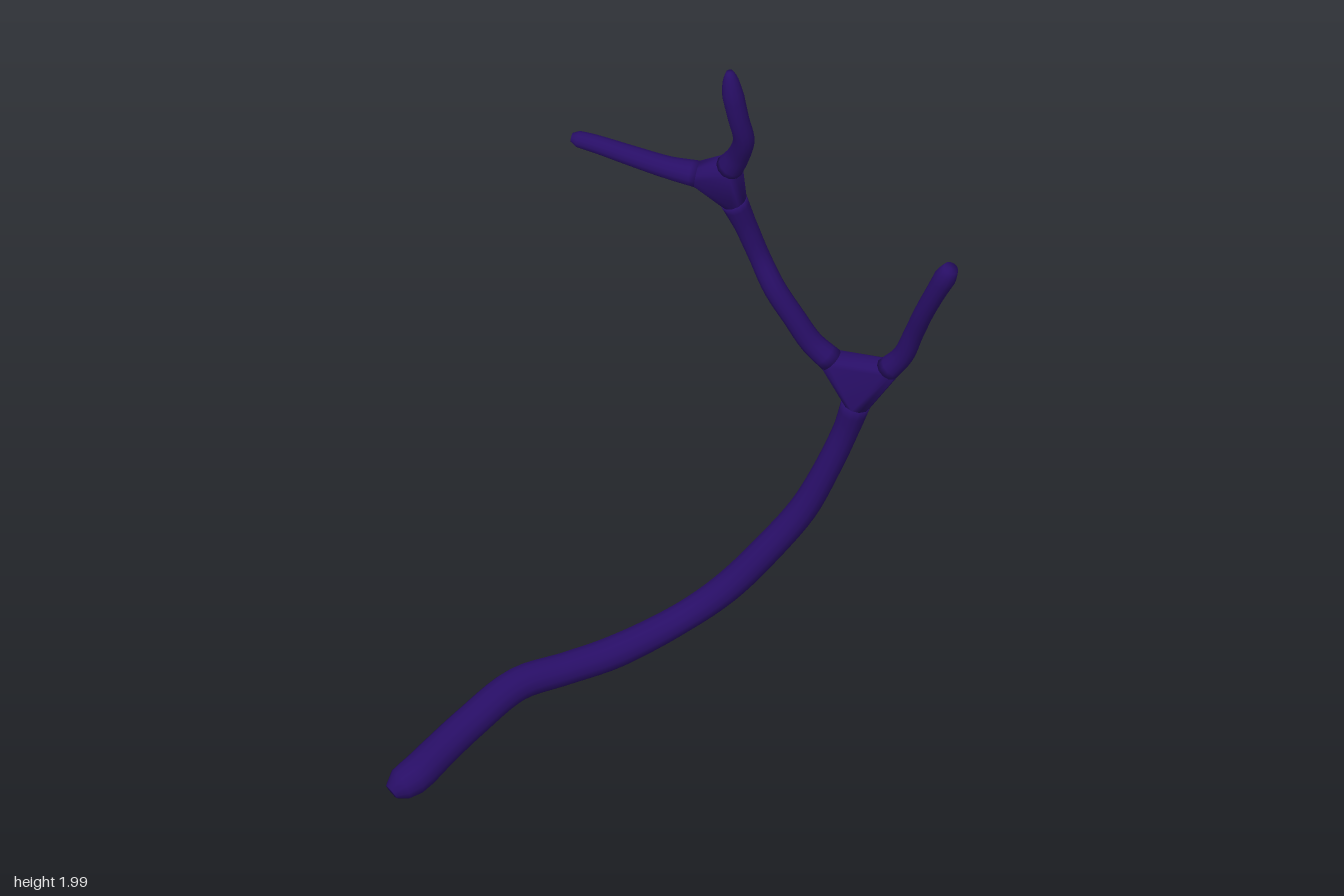
import * as THREE from 'three';
import { mergeVertices } from 'three/addons/utils/BufferGeometryUtils.js';
import { ConvexGeometry } from 'three/addons/geometries/ConvexGeometry.js';

const SIDES = 12;

// Rings of points swept along a path of [x, y, z, radius] stations
function sweepRings(stations, steps) {
  const curve = new THREE.CatmullRomCurve3(stations.map(s => new THREE.Vector3(s[0], s[1], s[2])));
  const frames = curve.computeFrenetFrames(steps);
  const rings = [];
  for (let i = 0; i <= steps; i++) {
    const u = i / steps;
    const f = curve.getUtoTmapping(u) * (stations.length - 1);
    const k = Math.min(Math.floor(f), stations.length - 2);
    const r = THREE.MathUtils.lerp(stations[k][3], stations[k + 1][3], f - k);
    const centre = curve.getPointAt(u);
    const ring = [];
    for (let j = 0; j < SIDES; j++) {
      const a = (j / SIDES) * Math.PI * 2;
      ring.push(centre.clone()
        .addScaledVector(frames.normals[i], Math.cos(a) * r)
        .addScaledVector(frames.binormals[i], Math.sin(a) * r));
    }
    rings.push({ centre, ring });
  }
  return rings;
}

// Smooth closed limb built from the rings
function limbGeometry(rings) {
  const pos = [], index = [];
  rings.forEach(({ ring }) => ring.forEach(p => pos.push(p.x, p.y, p.z)));
  const last = (rings.length - 1) * SIDES;
  const c0 = rings.length * SIDES;
  [rings[0], rings[rings.length - 1]].forEach(({ centre: c }) => pos.push(c.x, c.y, c.z));
  for (let j = 0; j < SIDES; j++) {
    const n = (j + 1) % SIDES;
    for (let i = 0; i < rings.length - 1; i++) {
      const a = i * SIDES + j, b = i * SIDES + n;
      index.push(a, b, a + SIDES, b, b + SIDES, a + SIDES);
    }
    index.push(c0, n, j, c0 + 1, last + j, last + n);
  }
  const g = new THREE.BufferGeometry();
  g.setAttribute('position', new THREE.Float32BufferAttribute(pos, 3));
  g.setIndex(index);
  g.computeVertexNormals();
  return g;
}

// Webbed joint: smooth hull around the limb ends that meet there
function jointGeometry(ends) {
  let g = new ConvexGeometry(ends.flatMap(e => e.ring));
  g.deleteAttribute('normal');
  g = mergeVertices(g, 1e-4);
  g.computeVertexNormals();
  return g;
}

export function createModel() {
  const model = new THREE.Group();
  const bark = new THREE.MeshStandardMaterial({ color: 0x280e66 });
  bark.name = 'dark purple bark';

  const add = (name, geometry) => {
    const mesh = new THREE.Mesh(geometry, bark);
    mesh.name = name;
    model.add(mesh);
  };

  // Limbs listed from base to tip
  const limbs = {
    trunk: [
      [-0.735, 0.035, -0.03, 0.022], [-0.715, 0.045, -0.03, 0.042], [-0.67, 0.057, -0.031, 0.05],
      [-0.56, 0.075, -0.07, 0.047], [-0.45, 0.095, -0.105, 0.046], [-0.28, 0.127, -0.143, 0.045],
      [-0.14, 0.13, -0.13, 0.043], [0, 0.142, -0.11, 0.044], [0.19, 0.19, -0.088, 0.04],
      [0.3, 0.268, -0.05, 0.041], [0.4, 0.39, -0.003, 0.04], [0.48, 0.51, 0.037, 0.038],
      [0.53, 0.63, 0.066, 0.035], [0.575, 0.77, 0.096, 0.034], [0.592, 0.87, 0.12, 0.039]],
    frontBranch: [
      [0.648, 1.0, 0.185, 0.033], [0.672, 1.06, 0.222, 0.028], [0.683, 1.15, 0.257, 0.026],
      [0.687, 1.25, 0.303, 0.026], [0.697, 1.34, 0.345, 0.027], [0.71, 1.405, 0.373, 0.03],
      [0.716, 1.435, 0.386, 0.02]],
    middleBranch: [
      [0.55, 0.99, 0.065, 0.034], [0.512, 1.04, 0.032, 0.031], [0.475, 1.12, 0.002, 0.03],
      [0.437, 1.21, -0.035, 0.03], [0.415, 1.3, -0.075, 0.028], [0.385, 1.4, -0.092, 0.03],
      [0.353, 1.49, -0.1, 0.037]],
    topBranch: [
      [0.33, 1.62, -0.08, 0.037], [0.336, 1.68, -0.045, 0.03], [0.328, 1.76, -0.008, 0.028],
      [0.308, 1.84, -0.002, 0.028], [0.294, 1.92, -0.006, 0.029], [0.288, 1.97, -0.008, 0.021],
      [0.285, 1.997, -0.008, 0.01]],
    backBranch: [
      [0.275, 1.572, -0.15, 0.036], [0.22, 1.58, -0.205, 0.03], [0.15, 1.597, -0.285, 0.027],
      [0.09, 1.611, -0.358, 0.024], [0.06, 1.617, -0.39, 0.022], [0.048, 1.619, -0.403, 0.012]],
  };

  const rings = {};
  for (const [name, stations] of Object.entries(limbs)) {
    rings[name] = sweepRings(stations, (stations.length - 1) * 4);
    add(name, limbGeometry(rings[name]));
  }

  // Forks where one limb splits into two
  const start = n => rings[n][0], end = n => rings[n][rings[n].length - 1];
  add('lowerFork', jointGeometry([end('trunk'), start('frontBranch'), start('middleBranch')]));
  add('upperFork', jointGeometry([end('middleBranch'), start('topBranch'), start('backBranch')]));

  return model;
}
